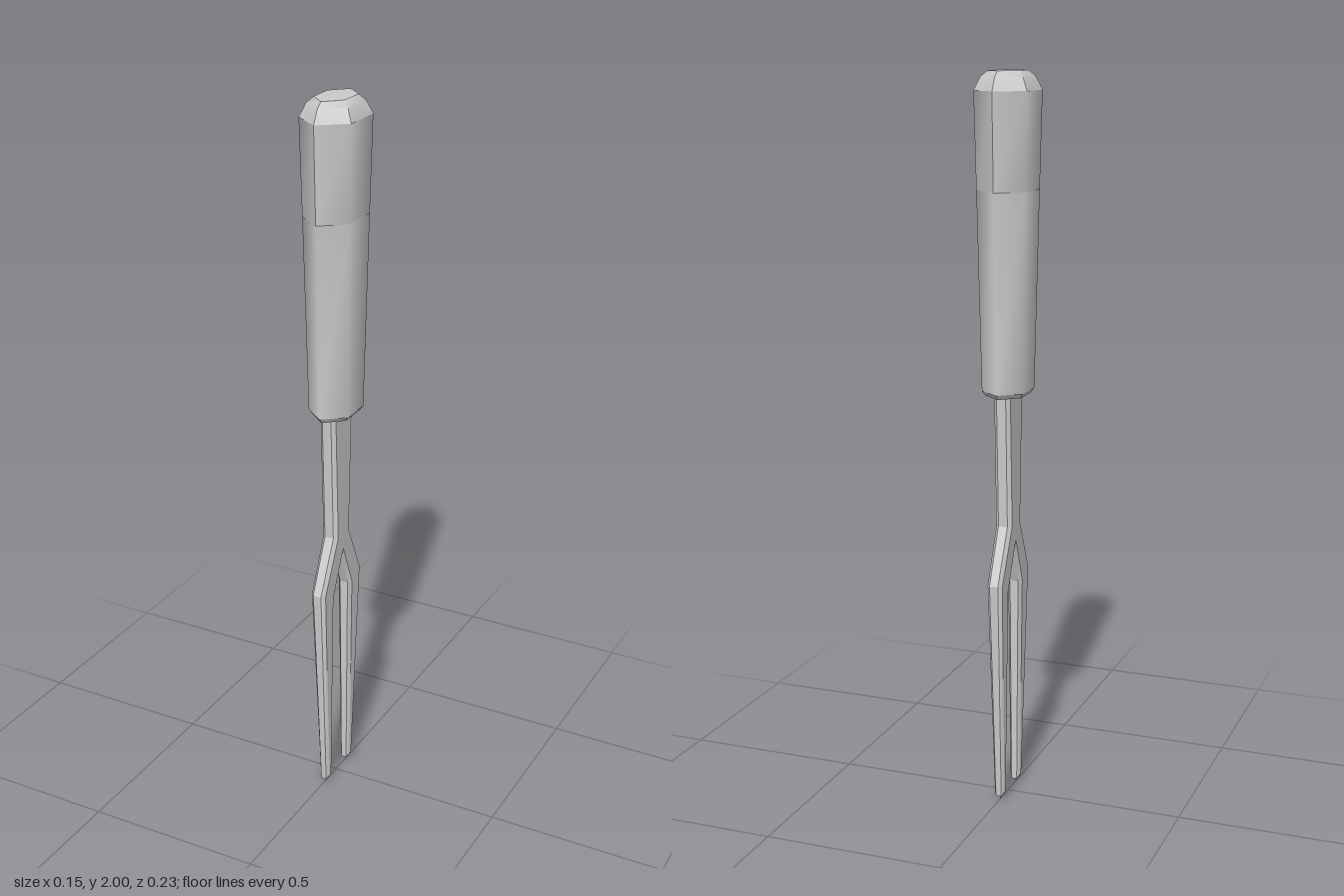
import * as THREE from 'three';
import { toCreasedNormals } from 'three/addons/utils/BufferGeometryUtils.js';

const material = new THREE.MeshStandardMaterial({ color: 0xcccccc });

function addMesh(parent, name, geometry) {
  const mesh = new THREE.Mesh(geometry, material);
  mesh.name = name;
  parent.add(mesh);
  return mesh;
}

// Six-sided cross-section: flat sides on x, ridges on z
function ring([y, hx, hz, side]) {
  return [[0, hz], [hx, side], [hx, -side], [0, -hz], [-hx, -side], [-hx, side]]
    .map(([x, z]) => [x, y, z]);
}

// Skin between cross-sections listed from bottom to top
function loft(sections, crease) {
  const rings = sections.map(ring);
  const positions = [];
  for (let i = 0; i < rings.length - 1; i++) {
    for (let j = 0; j < 6; j++) {
      const k = (j + 1) % 6;
      const a = rings[i][j], b = rings[i][k], c = rings[i + 1][k], d = rings[i + 1][j];
      if (sections[i][1] > 0) positions.push(...a, ...b, ...c);
      if (sections[i + 1][1] > 0) positions.push(...a, ...c, ...d);
      else if (sections[i][1] === 0) continue;
    }
  }
  const geometry = new THREE.BufferGeometry();
  geometry.setAttribute('position', new THREE.Float32BufferAttribute(positions, 3));
  return toCreasedNormals(geometry, crease);
}

// Bevelled two-pronged blade lying in the y-z plane
function forkGeometry() {
  const half = [[0.055, 1.165], [0.041, 0.79], [0.112, 0.64], [0.077, 0.014], [0.048, 0.014], [0.046, 0.61]];
  const mirrored = half.map(([z, y]) => [-z, y]).reverse();
  const outline = [...half, [0, 0.73], ...mirrored].map(([z, y]) => new THREE.Vector2(z, y));
  const depth = 0.026;
  const geometry = new THREE.ExtrudeGeometry(new THREE.Shape(outline), {
    depth, bevelEnabled: true, bevelSegments: 1,
    bevelSize: 0.01, bevelOffset: -0.01, bevelThickness: 0.01,
  });
  geometry.translate(0, 0, -depth / 2);
  geometry.rotateY(Math.PI / 2);

  // Thin the prongs towards their tips
  const p = geometry.attributes.position;
  for (let i = 0; i < p.count; i++) {
    const t = Math.min(1, p.getY(i) / 0.8);
    p.setX(i, p.getX(i) * (0.6 + 0.4 * t));
  }
  return toCreasedNormals(geometry, 0.35);
}

export function createModel() {
  const group = new THREE.Group();
  group.name = 'carvingFork';

  // Handle: tapered grip, wider end piece and faceted pommel
  const handle = new THREE.Group();
  handle.name = 'handle';
  group.add(handle);
  addMesh(handle, 'gripBase', loft([
    [1.15, 0, 0, 0], [1.15, 0.05, 0.083, 0.04], [1.163, 0.058, 0.093, 0.046],
  ], 0.4));
  addMesh(handle, 'grip', loft([
    [1.163, 0.058, 0.093, 0.046], [1.695, 0.068, 0.109, 0.055],
  ], 1.4));
  addMesh(handle, 'endPiece', loft([
    [1.695, 0.068, 0.109, 0.055], [1.95, 0.073, 0.117, 0.06],
  ], 1.05));
  addMesh(handle, 'pommel', loft([
    [1.95, 0.073, 0.117, 0.06], [1.985, 0.058, 0.098, 0.048],
    [2, 0.043, 0.08, 0.037], [2, 0, 0, 0],
  ], 0.6));

  // Shank and prongs with small points
  addMesh(group, 'shankAndProngs', forkGeometry());
  for (const side of [1, -1]) {
    const point = new THREE.ConeGeometry(0.008, 0.016, 4).toNonIndexed();
    point.computeVertexNormals();
    const tip = addMesh(group, side > 0 ? 'frontProngTip' : 'backProngTip', point);
    tip.rotation.x = Math.PI;
    tip.position.set(0, 0.008, side * 0.0625);
  }
  return group;
}
